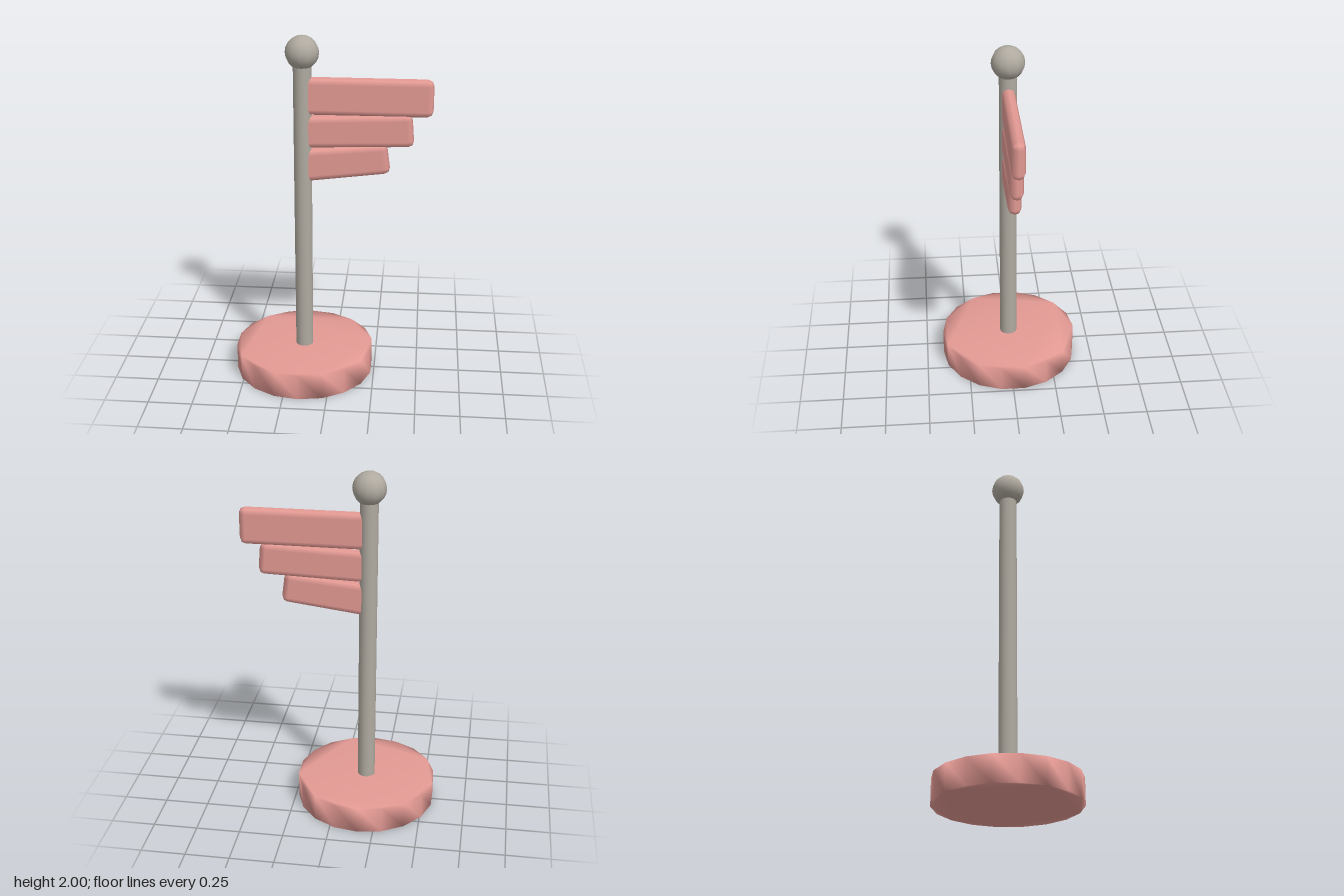
import * as THREE from 'three';
import { mergeVertices } from 'three/addons/utils/BufferGeometryUtils.js';
import { RoundedBoxGeometry } from 'three/addons/geometries/RoundedBoxGeometry.js';

const POLE_X = -0.163;
const pink = new THREE.MeshStandardMaterial({ color: 0xe49a94 });
const grey = new THREE.MeshStandardMaterial({ color: 0xb0aaa0 });

function part(name, geometry, material, x = 0, y = 0) {
  const mesh = new THREE.Mesh(geometry, material);
  mesh.name = name;
  mesh.position.set(x, y, 0);
  return mesh;
}

// Eighteen-sided disc with normals shared between side and caps
function baseGeometry(radius, height, sides) {
  const points = [];
  for (let i = 0; i < sides; i++) {
    const a = Math.PI / 2 + (i / sides) * Math.PI * 2;
    points.push(new THREE.Vector2(Math.cos(a) * radius, Math.sin(a) * radius));
  }
  let geo = new THREE.ExtrudeGeometry(new THREE.Shape(points), { depth: height, bevelEnabled: false });
  geo.rotateX(-Math.PI / 2);
  geo.deleteAttribute('normal');
  geo.deleteAttribute('uv');
  geo = mergeVertices(geo);
  geo.computeVertexNormals();
  return geo;
}

// Round-edged board stretched onto four corners; its left end sits inside the pole
function boardGeometry([topLeft, topRight, bottomRight, bottomLeft]) {
  const width = (topRight[0] + bottomRight[0]) / 2 - POLE_X;
  const height = (topLeft[1] - bottomLeft[1] + topRight[1] - bottomRight[1]) / 2;
  const geo = new RoundedBoxGeometry(width, height, 0.072, 1, 0.036);
  const pos = geo.attributes.position;
  const { lerp } = THREE.MathUtils;
  for (let i = 0; i < pos.count; i++) {
    const u = pos.getX(i) / width + 0.5;
    const v = pos.getY(i) / height + 0.5;
    const at = (k) => lerp(lerp(bottomLeft[k], bottomRight[k], u), lerp(topLeft[k], topRight[k], u), v);
    pos.setXY(i, at(0), at(1));
  }
  return geo;
}

export function createModel() {
  const model = new THREE.Group();
  model.name = 'signpost';

  model.add(part('base', baseGeometry(0.4, 0.15, 18), pink, POLE_X, 0));
  model.add(part('pole', new THREE.CylinderGeometry(0.05, 0.05, 1.74, 18), grey, POLE_X, 0.97));
  model.add(part('ballFinial', new THREE.SphereGeometry(0.093, 12, 10), grey, POLE_X, 1.907));

  // Three boards, each shorter and more tilted than the one above
  const boards = {
    topBoard: [[POLE_X, 1.773], [0.55, 1.773], [0.55, 1.56], [POLE_X, 1.56]],
    middleBoard: [[POLE_X, 1.555], [0.437, 1.58], [0.452, 1.389], [POLE_X, 1.37]],
    bottomBoard: [[POLE_X, 1.365], [0.302, 1.407], [0.325, 1.233], [POLE_X, 1.17]],
  };
  for (const [name, corners] of Object.entries(boards)) {
    model.add(part(name, boardGeometry(corners), pink));
  }
  return model;
}
